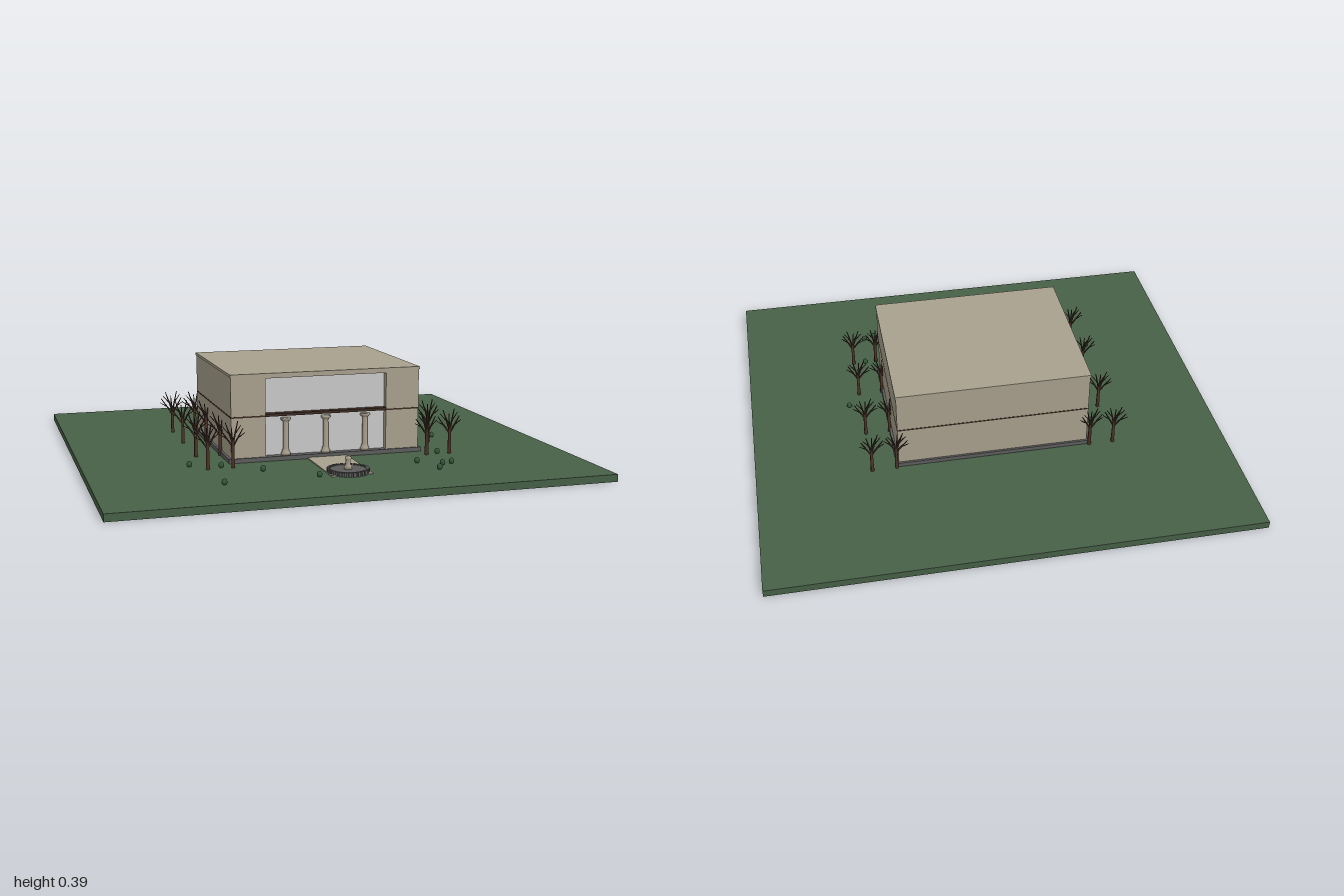
import * as THREE from 'three';

const mat = (name, color, flat = false) => {
  const m = new THREE.MeshStandardMaterial({ color, flatShading: flat });
  m.name = name;
  return m;
};

export function createModel() {
  const root = new THREE.Group();
  root.name = 'pavilionOnLawn';
  const lawn = mat('lawnGreen', 0x476047);
  const stone = mat('sandStone', 0xaaa18e);
  const glass = mat('paleGlass', 0xcacaca);
  const grey = mat('darkGrey', 0x5c5c5c);
  const wood = mat('darkWood', 0x3d2b22);
  const bark = mat('bark', 0x4f3428);
  const leaf = mat('bushGreen', 0x35573a);

  const add = (name, geo, material, x, y, z, parent = root) => {
    const m = new THREE.Mesh(geo, material);
    m.name = name;
    m.position.set(x, y, z);
    parent.add(m);
    return m;
  };
  // Box given by its min and max on each axis
  const box = (name, material, x0, x1, y0, y1, z0, z1) =>
    add(name, new THREE.BoxGeometry(x1 - x0, y1 - y0, z1 - z0), material,
      (x0 + x1) / 2, (y0 + y1) / 2, (z0 + z1) / 2);

  // Ground, plinth and path
  box('lawn', lawn, -1, 1, 0, 0.03, -0.947, 0.947);
  box('plinth', grey, -0.416, 0.416, 0.03, 0.048, -0.347, 0.343);
  box('path', stone, -0.085, 0.085, 0.03, 0.035, 0.343, 0.67);

  // Two storeys: solid core, front piers, dark joint between them
  for (const [label, y0, y1] of [['lower', 0.048, 0.214], ['upper', 0.22, 0.382]]) {
    box(label + 'Core', stone, -0.405, 0.405, y0, y1, -0.338, 0.305);
    for (const s of [-1, 1]) {
      const a = s * 0.26, b = s * 0.405;
      box(label + 'Pier', stone, Math.min(a, b), Math.max(a, b), y0, y1, 0.305, 0.336);
    }
    box(label + 'Glass', glass, -0.26, 0.26, y0, y1, 0.305, 0.31);
  }
  box('storeyJoint', wood, -0.406, 0.406, 0.214, 0.22, -0.339, 0.31);
  for (const s of [-1, 1]) {
    box('pierJoint', wood, s * 0.333 - 0.073, s * 0.333 + 0.073, 0.214, 0.22, 0.31, 0.337);
  }
  box('frontBeam', wood, -0.26, 0.26, 0.215, 0.226, 0.31, 0.342);
  box('lintel', stone, -0.26, 0.26, 0.372, 0.382, 0.305, 0.336);
  box('roof', stone, -0.408, 0.408, 0.382, 0.393, -0.341, 0.339);

  // Front columns with stepped base and capital
  const profile = [[0, 0], [0.02, 0], [0.02, 0.01], [0.015, 0.014], [0.015, 0.022],
    [0.012, 0.026], [0.011, 0.138], [0.014, 0.143], [0.021, 0.149], [0.021, 0.156], [0, 0.156]]
    .map(([r, y]) => new THREE.Vector2(r, y));
  const columnGeo = new THREE.LatheGeometry(profile, 16);
  for (const x of [-0.172, 0, 0.172]) add('column', columnGeo, stone, x, 0.048, 0.322).scale.z = 0.75;

  // Round fountain with a rim of blocks and a central post
  const fountain = new THREE.Group();
  fountain.name = 'fountain';
  fountain.position.set(0, 0.03, 0.615);
  root.add(fountain);
  add('basin', new THREE.CylinderGeometry(0.078, 0.08, 0.014, 32), grey, 0, 0.007, 0, fountain);
  const blockGeo = new THREE.BoxGeometry(0.012, 0.018, 0.014);
  for (let i = 0; i < 28; i++) {
    const a = (i / 28) * Math.PI * 2;
    add('rimBlock', blockGeo, grey, Math.sin(a) * 0.078, 0.009, Math.cos(a) * 0.078, fountain).rotation.y = a;
  }
  const post = [[0, 0.01], [0.016, 0.01], [0.016, 0.028], [0.01, 0.032], [0.01, 0.052],
    [0.013, 0.056], [0.012, 0.062], [0, 0.067]].map(([r, y]) => new THREE.Vector2(r, y));
  add('fountainPost', new THREE.LatheGeometry(post, 12), stone, 0, 0, 0, fountain);

  // Bare trees: a trunk and a nearly flat fan of forked branches
  const up = new THREE.Vector3(0, 1, 0);
  const limb = (name, from, to, r0, r1, parent) => {
    const d = to.clone().sub(from);
    const p = from.clone().addScaledVector(d, 0.5);
    const m = add(name, new THREE.CylinderGeometry(r1, r0, d.length(), 6), name === 'trunk' ? bark : wood,
      p.x, p.y, p.z, parent);
    m.quaternion.setFromUnitVectors(up, d.normalize());
  };
  const tree = (x, z, turn) => {
    const g = new THREE.Group();
    g.name = 'tree';
    g.position.set(x, 0.03, z);
    g.rotation.y = turn;
    root.add(g);
    limb('trunk', new THREE.Vector3(), new THREE.Vector3(0, 0.11, 0), 0.008, 0.006, g);
    [-0.62, -0.33, -0.08, 0.22, 0.5].forEach((a, i) => {
      const dz = ((i % 3) - 1) * 0.006;
      const start = new THREE.Vector3(0, 0.085 + (i % 2) * 0.012, 0);
      const at = (len, bend) => new THREE.Vector3(Math.sin(a + bend) * len, start.y + Math.cos(a + bend) * len, dz * len * 14);
      const tip = 0.085 + (i % 2) * 0.008;
      limb('branch', start, at(tip, 0), 0.0045, 0.0018, g);
      limb('twig', at(0.04, 0), at(tip - 0.01, a < 0 ? -0.2 : 0.2), 0.0025, 0.0013, g);
    });
  };
  [-0.35, -0.105, 0.175, 0.41].forEach((z, i) => {
    for (const s of [-1, 1]) {
      tree(s * 0.415, z, 0.12 * s * (i - 1.5));
      tree(s * 0.518, z, 0.1 * s * (1.5 - i));
    }
  });

  // Small bushes scattered over the lawn
  const bushGeo = new THREE.SphereGeometry(0.012, 12, 8);
  const bushes = [[-0.58, 0.345], [-0.46, 0.395], [-0.315, 0.5], [-0.51, 0.67], [-0.13, 0.655], [0.57, 0.09],
    [0.465, 0.405], [0.32, 0.54], [0.45, 0.59], [0.405, 0.605], [0.365, 0.67]];
  for (const [x, z] of bushes) add('bush', bushGeo, leaf, x, 0.041, z).scale.set(0.95, 1.1, 0.75);

  return root;
}
